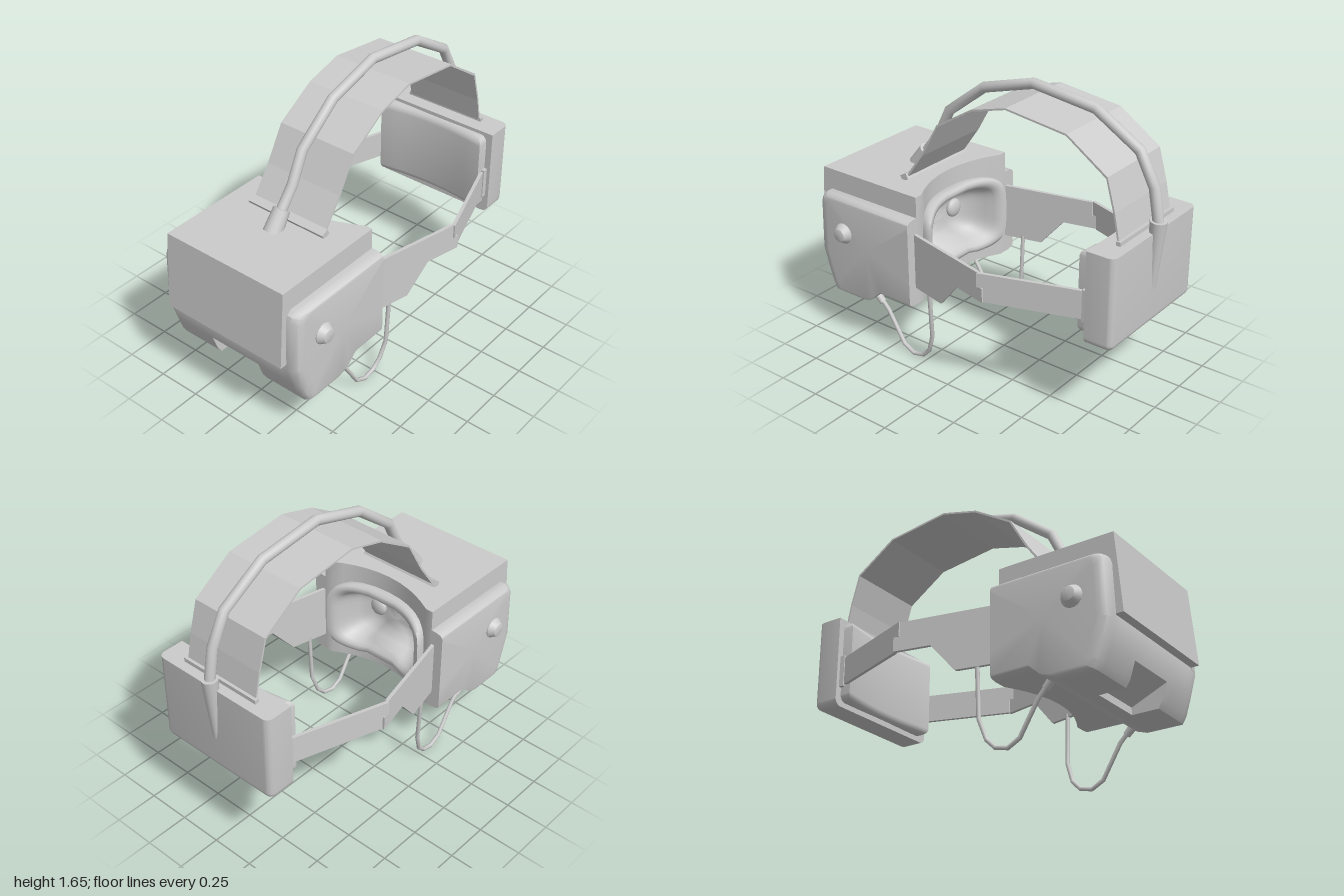
import * as THREE from 'three';
import { toCreasedNormals } from 'three/addons/utils/BufferGeometryUtils.js';
import { RoundedBoxGeometry } from 'three/addons/geometries/RoundedBoxGeometry.js';

const grey = new THREE.MeshStandardMaterial({ color: 0xcccccc });
const greyDouble = new THREE.MeshStandardMaterial({ color: 0xcccccc, side: THREE.DoubleSide });
const V = (x, y, z) => new THREE.Vector3(x, y, z);

// Skin over rows of points; every row is a closed loop
function skin(rows, crease, skip = () => false) {
  const n = rows[0].length, pos = rows.flat(), index = [];
  for (let i = 0; i < rows.length - 1; i++) {
    for (let j = 0; j < n; j++) {
      if (skip(i, j)) continue;
      const k = (j + 1) % n;
      const a = i * n + j, b = (i + 1) * n + j, c = (i + 1) * n + k, d = i * n + k;
      index.push(a, b, c, a, c, d);
    }
  }
  const g = new THREE.BufferGeometry().setFromPoints(pos);
  g.setIndex(index);
  return toCreasedNormals(g, crease);
}

// Side outline of [z, y] points, extruded across x
function extrudeX(points, width) {
  const shape = new THREE.Shape(points.map(([z, y]) => new THREE.Vector2(-z, y)));
  const g = new THREE.ExtrudeGeometry(shape, { depth: width, bevelEnabled: false });
  return g.translate(0, 0, -width / 2).rotateY(Math.PI / 2);
}

// Tapered round rod from a to b
function rod(a, b, ra, rb, sides = 14) {
  const dir = b.clone().sub(a);
  const g = new THREE.CylinderGeometry(rb, ra, dir.length(), sides);
  g.applyQuaternion(new THREE.Quaternion().setFromUnitVectors(V(0, 1, 0), dir.clone().normalize()));
  const m = a.clone().add(b).multiplyScalar(0.5);
  return g.translate(m.x, m.y, m.z);
}

// Tube with one ring at each point
function tube(points, radius, sides) {
  const curve = new THREE.CatmullRomCurve3(points);
  curve.getUtoTmapping = (u) => u;
  return new THREE.TubeGeometry(curve, points.length - 1, radius, sides);
}

// Concave curve of the face side
const hollow = (x) => 0.1 * Math.max(0, 1 - (x / 0.34) ** 2);

function housingGeometry() {
  const section = (x, kind, s = 1) => {
    const rear = 0.29 + hollow(x), shell = kind === 'shell';
    const top = shell ? 0.87 : 0.99;
    const pts = [
      [shell ? 0.91 : 0.94, top], [rear, top], [rear, 0.85], [rear, 0.49], [rear, 0.355],
      [0.53, 0.355], [0.6, 0.29], [0.66, 0.27],
      ...(kind === 'notch' ? [[0.72, 0.27], [0.72, 0.31]] : [[0.87, 0.27], [0.895, 0.31]]),
      [0.925, 0.4], [0.96, 0.52],
      ...(shell ? [[0.95, 0.82], [0.94, 0.85]] : [[0.94, 0.6], [0.94, 0.8]]),
    ];
    return pts.map(([z, y]) => V(x, 0.58 + (y - 0.58) * s, 0.29 + (z - 0.29) * s));
  };
  const spec = [
    [0.46, 'shell', 0], [0.46, 'shell', 0.9], [0.457, 'shell', 0.94], [0.445, 'shell', 0.975],
    [0.415, 'shell'], [0.385, 'shell'], [0.385, 'centre'], [0.34, 'centre'], [0.28, 'centre'],
    [0.22, 'centre'], [0.16, 'centre'], [0.16, 'notch'], [0.08, 'notch'],
  ];
  const all = [
    ...spec.map(([x, k, s]) => [-x, k, s]), [0, 'notch'], ...spec.slice().reverse(),
  ];
  const rows = all.map(([x, k, s]) =>
    s === 0 ? section(x, k).map(() => V(x, 0.6, 0.6)) : section(x, k, s));
  // open the face side where the eye cavity sits
  const open = (i, j) => j === 2 && Math.abs(all[i][0]) < 0.29 && Math.abs(all[i + 1][0]) < 0.29;
  return skin(rows, 0.6, open);
}

function gasketGeometry() {
  // half width, half height, depth from the face edge
  const rings = [
    [0.325, 0.22, 0.13], [0.335, 0.228, 0.05], [0.34, 0.232, 0.025], [0.333, 0.225, 0.006],
    [0.315, 0.208, 0], [0.295, 0.188, 0.004], [0.28, 0.174, 0.025], [0.265, 0.16, 0.07],
    [0.235, 0.13, 0.13], [0.18, 0.09, 0.17], [0.1, 0.05, 0.18], [0.001, 0.001, 0.18],
  ];
  const soft = (v) => Math.sign(v) * Math.abs(v) ** 0.45;
  const rows = rings.map(([a, b, depth]) => Array.from({ length: 48 }, (_, j) => {
    const t = ((j + 0.5) / 48) * Math.PI * 2;
    const x = a * soft(Math.cos(t)), dy = b * soft(Math.sin(t));
    const nose = Math.exp(-((x / 0.09) ** 2));
    const y = 0.66 + dy + (dy < 0 ? 0.05 * nose * (-dy / 0.23) : 0);
    const ridge = depth > 0.06 && a < 0.3 ? 0.08 * nose * (0.6 - dy / 0.4) : 0;
    return V(x, y, 0.23 + hollow(x) + depth - ridge);
  }));
  return skin(rows, 1.2);
}

function batteryGeometry() {
  // rounded block, cut flat on its top and front
  const r = 0.04, g = new RoundedBoxGeometry(0.77, 0.52 + r, 0.16 + r, 4, r);
  g.translate(0, 0.76 + r / 2, -0.87 + r / 2);
  const p = g.attributes.position;
  for (let i = 0; i < p.count; i++) {
    p.setY(i, Math.min(p.getY(i), 1.02));
    p.setZ(i, Math.min(p.getZ(i), -0.79));
  }
  return toCreasedNormals(g, 0.6);
}

function rearPadGeometry() {
  const shape = new THREE.Shape();
  shape.moveTo(-0.31, 0.86);
  for (let i = 0; i <= 12; i++) {
    const x = -0.31 + (0.62 * i) / 12;
    shape.lineTo(x, 0.77 + 0.03 * (1 - (x / 0.31) ** 2));
  }
  shape.lineTo(0.31, 0.86);
  const g = new THREE.ExtrudeGeometry(shape, {
    depth: 0.39, bevelSize: 0.04, bevelThickness: 0.04, bevelSegments: 4,
  });
  return toCreasedNormals(g.rotateX(-Math.PI / 2).translate(0, 0.57, 0), 0.8);
}

export function createModel() {
  const model = new THREE.Group();
  const add = (name, geometry, material = grey) => {
    const mesh = new THREE.Mesh(geometry, material);
    mesh.name = name;
    model.add(mesh);
    return mesh;
  };

  // Visor
  add('visorHousing', housingGeometry());
  add('frontPlate', extrudeX([[0.94, 0.55], [1.0, 0.55], [0.965, 0.99], [0.94, 0.99]], 0.77));
  add('faceGasket', gasketGeometry(), greyDouble);

  // Rear pack
  add('batteryPack', batteryGeometry());
  add('rearPad', rearPadGeometry());

  // Top strap and its clips
  const path = [[0.5, 0.99], [0.37, 1.17], [0.26, 1.36], [0.03, 1.5], [-0.19, 1.56],
    [-0.56, 1.515], [-0.8, 1.355], [-0.85, 1.18], [-0.885, 1.01]];
  const inner = path.map(([z, y]) => [z * 0.988 - 0.002, y - 0.01]).reverse();
  add('topStrap', extrudeX([...path, ...inner], 0.475));
  add('frontStrapClip', new THREE.BoxGeometry(0.5, 0.035, 0.045).rotateX(0.5).translate(0, 1.005, 0.49));
  add('rearStrapClip', new THREE.BoxGeometry(0.5, 0.035, 0.025).translate(0, 1.025, -0.883));

  // Overhead cable with end sleeves
  const cable = [[0.57, 1.03], [0.53, 1.08], [0.45, 1.18], [0.37, 1.345], [0.13, 1.53], [-0.19, 1.622],
    [-0.57, 1.575], [-0.83, 1.42], [-0.92, 1.25], [-0.955, 1.06]];
  add('overheadCable', tube(cable.map(([z, y]) => V(0, y, z)), 0.029, 14));
  add('frontCableSleeve', rod(V(0, 0.97, 0.61), V(0, 1.075, 0.535), 0.052, 0.045));
  add('rearCableSleeve', rod(V(0, 0.7, -0.93), V(0, 1.08, -0.955), 0.025, 0.045));

  const frontArm = [[0.29, 0.78], [-0.235, 0.78], [-0.235, 0.7], [-0.27, 0.7], [-0.27, 0.62],
    [-0.065, 0.62], [0.07, 0.46], [0.29, 0.46]];
  const rearArm = [[-0.235, 0.78], [-0.775, 0.78], [-0.775, 0.62], [-0.265, 0.62], [-0.265, 0.7], [-0.235, 0.7]];
  const wire = [[0.385, 0.27, 0.56], [0.385, 0.23, 0.52], [0.385, 0.05, 0.41], [0.385, 0.014, 0.34],
    [0.387, 0.03, 0.27], [0.392, 0.08, 0.22], [0.405, 0.19, 0.183], [0.42, 0.48, 0.183]];

  for (const s of [1, -1]) {
    const side = s > 0 ? 'left' : 'right';
    // Side arms, slanted outward towards the bend
    const slant = (points, offset) => {
      const g = extrudeX(points, 0.02), p = g.attributes.position;
      for (let i = 0; i < p.count; i++) p.setX(i, p.getX(i) + s * offset(p.getZ(i)));
      g.computeVertexNormals();
      return g;
    };
    add(side + 'FrontArm', slant(frontArm, (z) => 0.4 + (0.28 - z) * 0.226));
    add(side + 'RearArm', slant(rearArm, (z) => 0.52 - (-0.25 - z) * 0.335));
    add(side + 'ArmBracket', new THREE.BoxGeometry(0.05, 0.18, 0.04).translate(s * 0.34, 0.7, -0.78));

    // Knob
    const knob = [[0.058, -0.01], [0.06, 0.008], [0.038, 0.042], [0.03, 0.045], [0, 0.045]];
    const g = new THREE.LatheGeometry(knob.map(([r, h]) => new THREE.Vector2(r, h)), 20);
    g.rotateZ((-s * Math.PI) / 2).translate(s * 0.457, 0.665, 0.765);
    add(side + 'Knob', toCreasedNormals(g, 0.5));

    // Hanging wire and its plug
    add(side + 'Wire', tube(wire.map(([x, y, z]) => V(s * x, y, z)), 0.012, 8));
    add(side + 'WirePlug', rod(V(s * 0.385, 0.315, 0.61), V(s * 0.385, 0.265, 0.56), 0.024, 0.02, 10));

    // Lens
    const lens = new THREE.SphereGeometry(0.055, 20, 12).scale(1, 1, 0.5);
    add(side + 'Lens', lens.translate(s * 0.14, 0.68, 0.475));
  }
  return model;
}
